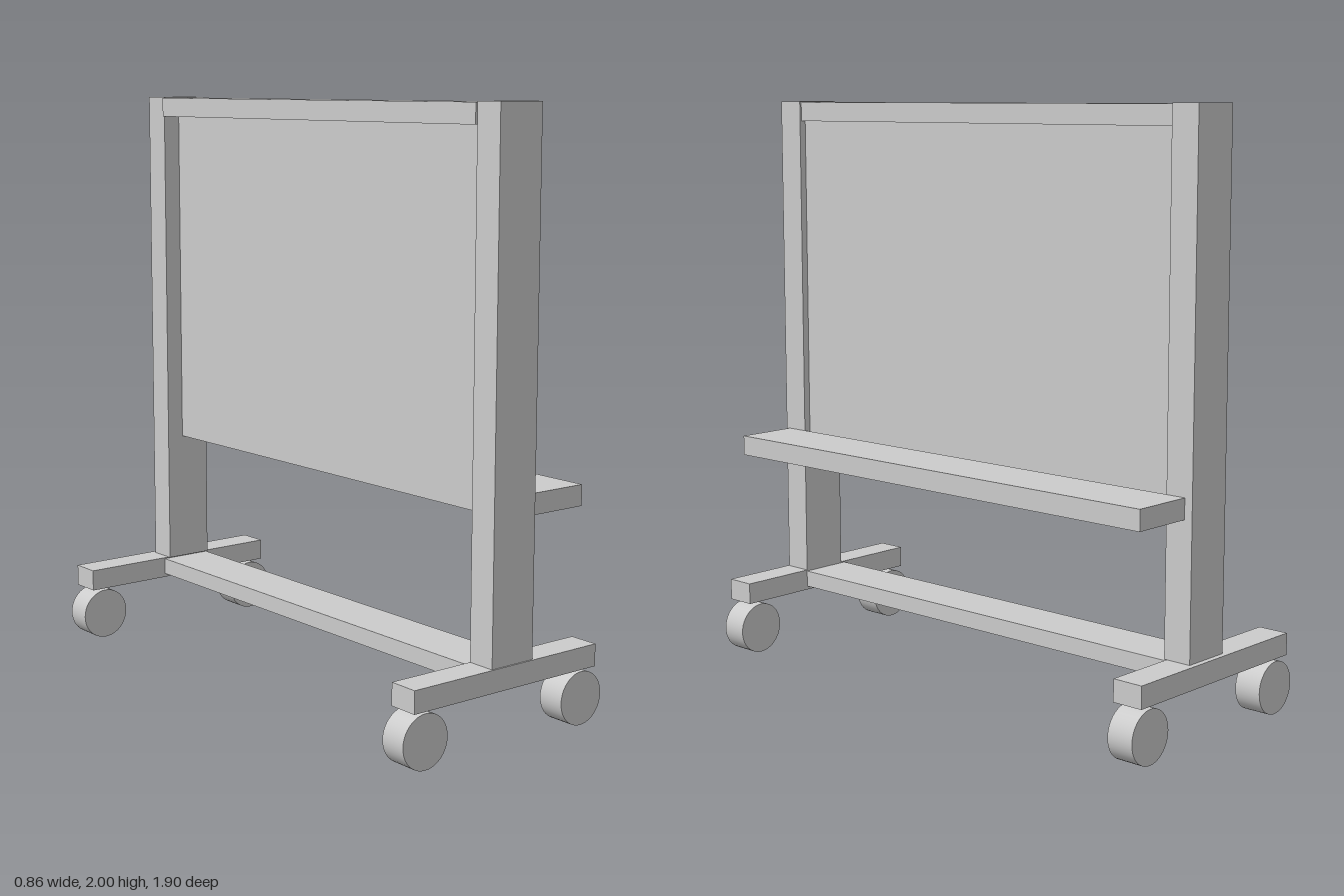
import * as THREE from 'three';

const material = new THREE.MeshStandardMaterial({ color: 0xcccccc });

// Box given by its extents along each axis
function box(name, [x0, x1], [y0, y1], [z0, z1]) {
  const mesh = new THREE.Mesh(new THREE.BoxGeometry(x1 - x0, y1 - y0, z1 - z0), material);
  mesh.name = name;
  mesh.position.set((x0 + x1) / 2, (y0 + y1) / 2, (z0 + z1) / 2);
  return mesh;
}

// Caster wheel with its axle along z
function wheel(name, x, [z0, z1]) {
  const radius = 0.09;
  const geometry = new THREE.CylinderGeometry(radius, radius, z1 - z0, 40).rotateX(Math.PI / 2);
  const mesh = new THREE.Mesh(geometry, material);
  mesh.name = name;
  mesh.position.set(x, radius, (z0 + z1) / 2);
  return mesh;
}

export function createModel() {
  const group = new THREE.Group();
  group.name = 'mobileBoard';

  // The two end stands: post, foot and a pair of wheels each
  const ends = [
    { name: 'left', post: [0.848, 0.948], foot: [0.848, 0.953], footX: [-0.384, 0.39],
      wheelZ: [0.848, 0.943], wheelX: [-0.33, 0.338] },
    { name: 'right', post: [-0.932, -0.832], foot: [-0.951, -0.842], footX: [-0.4, 0.376],
      wheelZ: [-0.948, -0.853], wheelX: [-0.341, 0.326] },
  ];
  for (const e of ends) {
    const stand = new THREE.Group();
    stand.name = e.name + 'Stand';
    stand.add(
      box('post', [-0.063, 0.11], [0.265, 2], e.post),
      box('foot', e.footX, [0.19, 0.265], e.foot),
      wheel('backWheel', e.wheelX[0], e.wheelZ),
      wheel('frontWheel', e.wheelX[1], e.wheelZ),
    );
    group.add(stand);
  }

  // Rails, board and tray spanning the stands
  group.add(
    box('topRail', [-0.07, 0.103], [1.93, 1.997], [-0.832, 0.848]),
    box('bottomRail', [-0.08, 0.11], [0.203, 0.261], [-0.842, 0.848]),
    box('board', [0, 0.085], [0.73, 1.93], [-0.832, 0.848]),
    box('tray', [0.108, 0.333], [0.725, 0.795], [-0.903, 0.932]),
  );
  return group;
}
